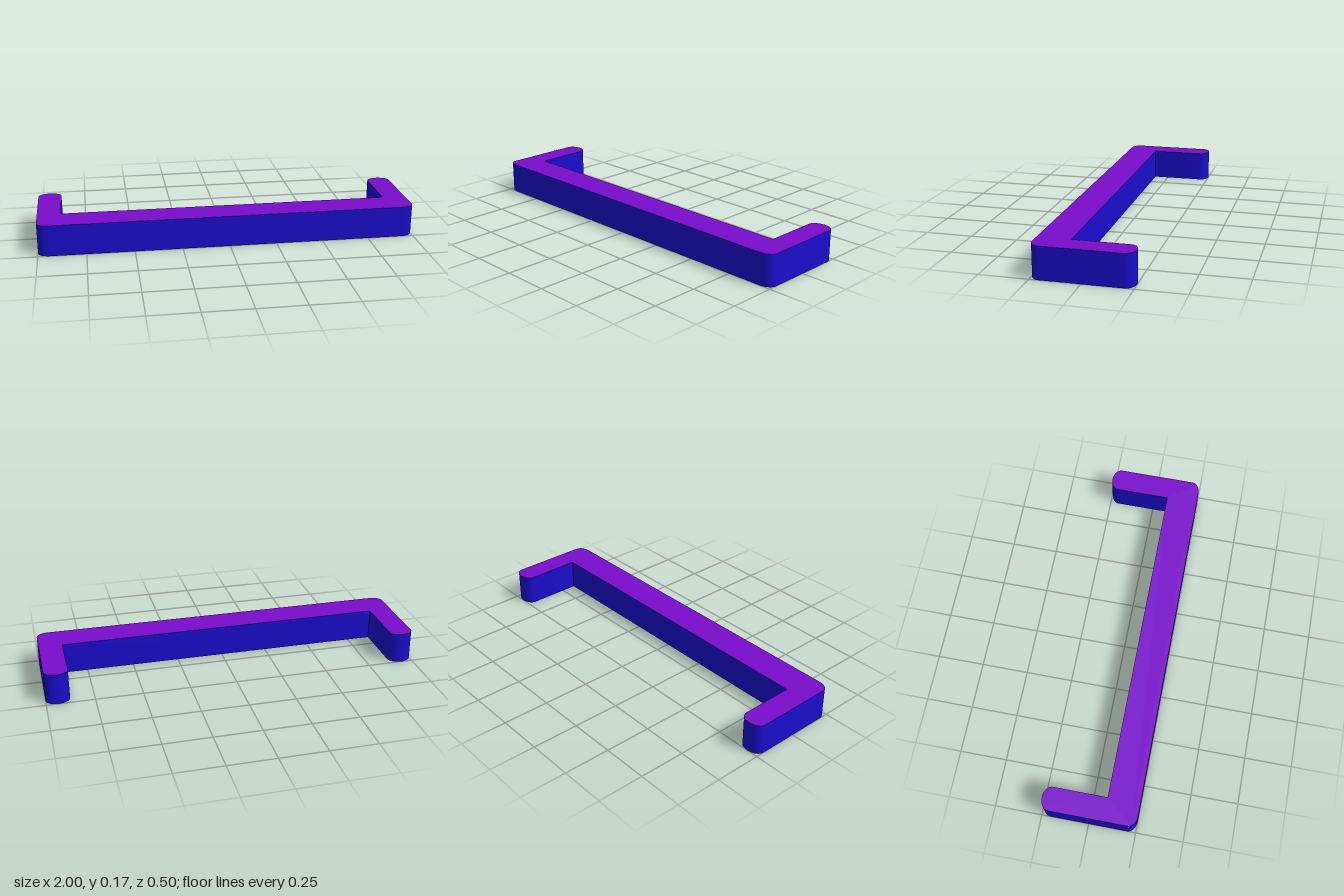
import * as THREE from 'three';
import { toCreasedNormals } from 'three/addons/utils/BufferGeometryUtils.js';

export function createModel() {
  const group = new THREE.Group();
  group.name = 'pullHandle';

  const height = 0.167, halfDepth = 0.25;
  const inner = 0.875;          // inside face of the arms
  const barBack = -0.08;        // back face of the bar (shape y is -z)
  const rx = 0.0625, ry = 0.045; // slightly squashed rounding
  const cx = 1 - rx, cy = halfDepth - ry;

  // U-shaped plan, counter-clockwise from the front edge
  const plan = new THREE.Shape();
  plan.moveTo(-cx, -halfDepth);
  plan.lineTo(cx, -halfDepth);
  plan.absellipse(cx, -cy, rx, ry, -Math.PI / 2, 0, false);
  plan.lineTo(1, cy);
  plan.absellipse(cx, cy, rx, ry, 0, Math.PI, false);
  plan.lineTo(inner, barBack);
  plan.lineTo(-inner, barBack);
  plan.lineTo(-inner, cy);
  plan.absellipse(-cx, cy, rx, ry, 0, Math.PI, false);
  plan.lineTo(-1, -cy);
  plan.absellipse(-cx, -cy, rx, ry, Math.PI, Math.PI * 1.5, false);

  const extruded = new THREE.ExtrudeGeometry(plan, { depth: height, bevelEnabled: false, curveSegments: 24 });
  extruded.rotateX(-Math.PI / 2);
  const geometry = toCreasedNormals(extruded, Math.PI / 5);

  // The lids come first: bottom half, then top half, followed by the walls
  const lids = extruded.groups[0].count;
  const total = geometry.attributes.position.count;
  geometry.clearGroups();
  geometry.addGroup(0, lids / 2, 0);
  geometry.addGroup(lids / 2, lids / 2, 1);
  geometry.addGroup(lids, total - lids, 0);

  const blue = new THREE.MeshStandardMaterial({ color: 0x1a0dcc });
  const purple = new THREE.MeshStandardMaterial({ color: 0x780ccc });
  const handle = new THREE.Mesh(geometry, [blue, purple]);
  handle.name = 'handleBar';
  group.add(handle);
  return group;
}
